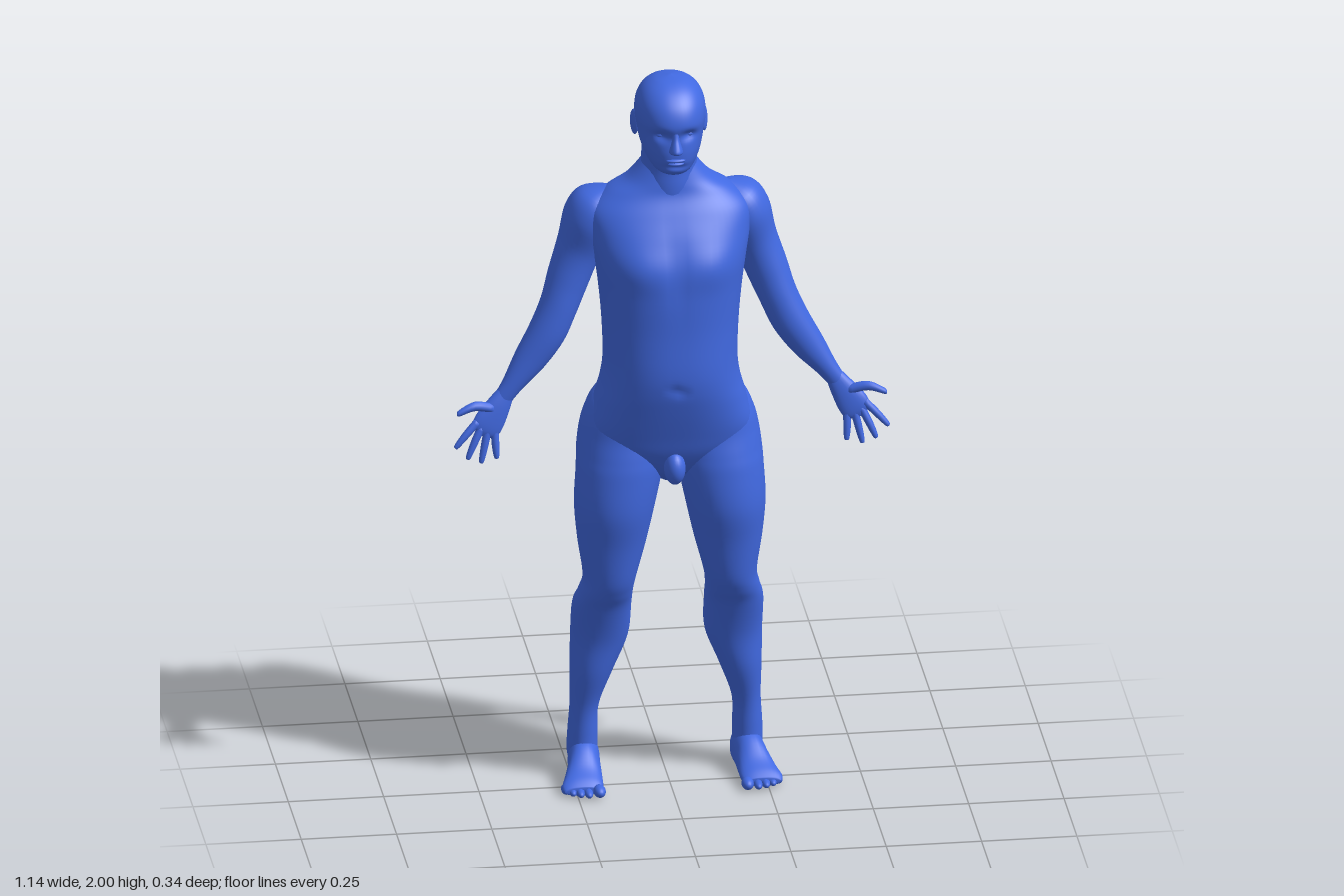
import * as THREE from 'three';

const skin = new THREE.MeshStandardMaterial({ color: 0x4169e1 });
skin.name = 'blue';

const gauss = (d, w) => Math.exp(-(d * d) / (w * w));

// Smooth value between rows (Catmull-Rom on every column)
function sampleRows(rows, t) {
  const i = Math.min(Math.floor(t), rows.length - 2), f = t - i;
  const at = k => rows[Math.max(0, Math.min(rows.length - 1, k))];
  const [a, b, c, d] = [at(i - 1), at(i), at(i + 1), at(i + 2)];
  return b.map((_, k) => 0.5 * (2 * b[k] + (c[k] - a[k]) * f
    + (2 * a[k] - 5 * b[k] + 4 * c[k] - d[k]) * f * f
    + (3 * b[k] - a[k] - 3 * c[k] + d[k]) * f * f * f));
}

// Closed skin over rows of [x, y, z, radiusU, radius +V, radius -V]; side -1 mirrors in x
function loft(name, rows, { u = [1, 0, 0], v = [0, 0, 1], side = 1, power = 2.2, segs = 32, steps = 6, shape } = {}) {
  const U = new THREE.Vector3(u[0] * side, u[1], u[2]).normalize();
  const V = new THREE.Vector3(v[0] * side, v[1], v[2]).normalize();
  const pos = [], index = [], p = new THREE.Vector3();
  const count = (rows.length - 1) * steps;
  const squash = c => Math.sign(c) * Math.abs(c) ** (2 / power);
  for (let r = 0; r <= count; r++) {
    const [x, y, z, ru, rp, rm] = sampleRows(rows, r / steps);
    for (let s = 0; s < segs; s++) {
      const a = s / segs * Math.PI * 2, sn = squash(Math.sin(a));
      p.set(x * side, y, z)
        .addScaledVector(U, Math.max(ru, 0.001) * squash(Math.cos(a)))
        .addScaledVector(V, Math.max(sn > 0 ? rp : rm, 0.001) * sn);
      if (shape) shape(p);
      pos.push(p.x, p.y, p.z);
    }
  }
  const first = rows[0], last = rows[rows.length - 1];
  const along = new THREE.Vector3((last[0] - first[0]) * side, last[1] - first[1], last[2] - first[2]);
  const forward = U.clone().cross(V).dot(along) > 0;
  const tri = (a, b, c) => forward ? index.push(a, b, c) : index.push(a, c, b);
  for (let r = 0; r < count; r++) for (let s = 0; s < segs; s++) {
    const n = (s + 1) % segs, a = r * segs;
    tri(a + s, a + n, a + segs + n);
    tri(a + s, a + segs + n, a + segs + s);
  }
  // End caps
  for (let s = 1; s < segs - 1; s++) {
    const e = count * segs;
    tri(0, s + 1, s);
    tri(e, e + s, e + s + 1);
  }
  const g = new THREE.BufferGeometry();
  g.setAttribute('position', new THREE.Float32BufferAttribute(pos, 3));
  g.setIndex(index);
  g.computeVertexNormals();
  const mesh = new THREE.Mesh(g, skin);
  mesh.name = name;
  return mesh;
}

function ellipsoid(name, [x, y, z], [rx, ry, rz]) {
  const g = new THREE.SphereGeometry(1, 24, 16).scale(rx, ry, rz).translate(x, y, z);
  const mesh = new THREE.Mesh(g, skin);
  mesh.name = name;
  return mesh;
}

// Tapered finger through base, joint and tip
function finger(name, a, b, c, r, side) {
  const d = [c[0] - a[0], c[1] - a[1]];
  const end = c.map((k, i) => k + (c[i] - b[i]) * 0.12);
  const rows = [[...a, r, r, r], [...b, r * 0.95, r * 0.95, r * 0.95], [...c, r * 0.65, r * 0.65, r * 0.65], [...end, 0.001, 0.001, 0.001]];
  return loft(name, rows, { u: [-d[1], d[0], 0], side, power: 2, segs: 12, steps: 4 });
}

function makeTorso() {
  const rows = [
    [0, 0.86, 0, 0.02, 0.02, 0.02], [0, 0.9, 0, 0.09, 0.07, 0.07], [0, 0.96, 0, 0.19, 0.105, 0.105],
    [0, 1.02, 0, 0.215, 0.125, 0.125], [0, 1.1, 0, 0.198, 0.15, 0.125], [0, 1.16, 0, 0.182, 0.165, 0.112],
    [0, 1.22, 0, 0.175, 0.17, 0.107], [0, 1.32, 0, 0.178, 0.165, 0.12], [0, 1.42, 0, 0.187, 0.163, 0.138],
    [0, 1.5, 0, 0.198, 0.155, 0.152], [0, 1.57, -0.01, 0.21, 0.135, 0.145], [0, 1.63, -0.02, 0.21, 0.11, 0.12],
    [0, 1.675, -0.025, 0.165, 0.088, 0.085], [0, 1.71, -0.025, 0.11, 0.078, 0.07], [0, 1.76, -0.02, 0.068, 0.06, 0.06],
  ];
  return loft('torso', rows, { power: 2.35, segs: 64, steps: 6, shape: p => {
    const ax = Math.abs(p.x);
    if (p.z > 0.03) { // chest, breastbone and navel
      p.z += 0.01 * gauss(ax - 0.095, 0.06) * gauss(p.y - 1.51, 0.06);
      p.z -= 0.006 * gauss(ax, 0.02) * gauss(p.y - 1.5, 0.1);
      p.z -= 0.008 * gauss(ax, 0.012) * gauss(p.y - 1.17, 0.015);
    } else if (p.z < -0.03) { // spine groove and shoulder blades
      p.z += 0.016 * gauss(ax, 0.035) * gauss(p.y - 1.38, 0.22);
      p.z -= 0.01 * gauss(ax - 0.12, 0.06) * gauss(p.y - 1.55, 0.08);
    }
  } });
}

function makeHead() {
  const head = new THREE.Group();
  head.name = 'head';
  head.add(loft('neck', [
    [0, 1.62, -0.03, 0.085, 0.09, 0.07], [0, 1.7, -0.02, 0.078, 0.08, 0.075],
    [0, 1.76, -0.015, 0.073, 0.072, 0.073], [0, 1.85, 0, 0.07, 0.07, 0.08],
  ], { power: 2 }));
  head.add(loft('skull', [
    [0, 1.75, 0.06, 0.012, 0.02, 0.02], [0, 1.763, 0.04, 0.045, 0.07, 0.06], [0, 1.785, 0.02, 0.064, 0.102, 0.085],
    [0, 1.82, 0.01, 0.078, 0.115, 0.092], [0, 1.86, 0, 0.087, 0.122, 0.092], [0, 1.9, 0, 0.092, 0.128, 0.094],
    [0, 1.94, 0, 0.088, 0.115, 0.09], [0, 1.972, 0, 0.071, 0.086, 0.077], [0, 1.992, 0, 0.042, 0.048, 0.048],
    [0, 2, 0, 0.004, 0.004, 0.004],
  ], { segs: 64, steps: 8, shape: p => { // eye sockets and chin crease
    if (p.z < 0.03) return;
    p.z -= 0.014 * gauss(Math.abs(p.x) - 0.036, 0.02) * gauss(p.y - 1.872, 0.014);
    p.z -= 0.006 * gauss(p.x, 0.03) * gauss(p.y - 1.786, 0.008);
  } }));
  head.add(loft('nose', [
    [0, 1.89, 0.115, 0.008, 0.008, 0.01], [0, 1.865, 0.116, 0.01, 0.017, 0.01], [0, 1.84, 0.117, 0.017, 0.037, 0.01],
    [0, 1.83, 0.116, 0.019, 0.03, 0.01], [0, 1.824, 0.115, 0.01, 0.01, 0.008],
  ], { power: 2, segs: 20 }));
  head.add(ellipsoid('upperLip', [0, 1.806, 0.119], [0.026, 0.006, 0.012]));
  head.add(ellipsoid('lowerLip', [0, 1.796, 0.117], [0.022, 0.006, 0.012]));
  for (const s of [1, -1]) {
    head.add(ellipsoid('eye', [s * 0.036, 1.871, 0.091], [0.015, 0.009, 0.012]));
    const ear = ellipsoid('ear', [0, 0, 0], [0.007, 0.034, 0.02]);
    ear.position.set(s * 0.092, 1.868, -0.008);
    ear.rotation.set(-0.15, -s * 0.35, 0);
    head.add(ear);
  }
  return head;
}

function makeArm(side) {
  const arm = new THREE.Group();
  arm.name = side > 0 ? 'leftArm' : 'rightArm';
  arm.add(loft('armAndShoulder', [
    [0.15, 1.672, -0.045, 0.012, 0.02, 0.02], [0.178, 1.635, -0.05, 0.058, 0.07, 0.08], [0.205, 1.58, -0.055, 0.069, 0.085, 0.097],
    [0.232, 1.5, -0.055, 0.06, 0.068, 0.085], [0.262, 1.42, -0.045, 0.056, 0.06, 0.062], [0.288, 1.35, -0.03, 0.051, 0.052, 0.05],
    [0.32, 1.28, -0.02, 0.05, 0.047, 0.046], [0.365, 1.21, -0.012, 0.043, 0.038, 0.038],
    [0.41, 1.15, 0, 0.029, 0.025, 0.025], [0.44, 1.11, 0.008, 0.024, 0.016, 0.016],
  ], { u: [0.89, 0.46, 0], side, power: 2 }));
  arm.add(loft('palm', [
    [0.428, 1.13, 0.004, 0.022, 0.016, 0.016], [0.45, 1.095, 0.012, 0.032, 0.018, 0.016], [0.474, 1.058, 0.022, 0.04, 0.015, 0.013],
    [0.488, 1.034, 0.028, 0.037, 0.011, 0.011], [0.496, 1.02, 0.031, 0.018, 0.005, 0.005],
  ], { u: [0.87, 0.5, 0], side, segs: 24 }));
  const fingers = [
    ['indexFinger', [0.507, 1.058, 0.027], [0.538, 1.027, 0.037], [0.565, 0.997, 0.044]],
    ['middleFinger', [0.497, 1.043, 0.028], [0.517, 1.003, 0.037], [0.534, 0.965, 0.044]],
    ['ringFinger', [0.48, 1.036, 0.027], [0.49, 0.992, 0.035], [0.499, 0.952, 0.042]],
    ['littleFinger', [0.462, 1.034, 0.024], [0.461, 0.993, 0.032], [0.459, 0.96, 0.038]],
    ['thumb', [0.465, 1.09, 0.02], [0.515, 1.104, 0.034], [0.558, 1.09, 0.042]],
  ];
  for (const [name, a, b, c] of fingers) arm.add(finger(name, a, b, c, name === 'thumb' ? 0.013 : 0.0105, side));
  return arm;
}

function makeLeg(side) {
  const leg = new THREE.Group();
  leg.name = side > 0 ? 'leftLeg' : 'rightLeg';
  leg.add(loft('thighAndCalf', [
    [0.11, 1.15, -0.02, 0.03, 0.05, 0.06], [0.114, 1.1, -0.02, 0.083, 0.1, 0.113], [0.118, 1.05, -0.02, 0.104, 0.115, 0.138],
    [0.121, 1, -0.02, 0.114, 0.12, 0.147], [0.126, 0.95, -0.015, 0.116, 0.125, 0.14], [0.132, 0.9, 0, 0.113, 0.117, 0.134],
    [0.145, 0.8, 0, 0.105, 0.12, 0.106], [0.152, 0.7, 0, 0.09, 0.1, 0.09], [0.158, 0.6, 0, 0.07, 0.082, 0.074],
    [0.166, 0.55, -0.015, 0.071, 0.077, 0.078], [0.173, 0.5, -0.04, 0.077, 0.074, 0.082], [0.176, 0.4, -0.07, 0.075, 0.07, 0.081],
    [0.195, 0.3, -0.08, 0.056, 0.065, 0.069], [0.212, 0.2, -0.09, 0.038, 0.05, 0.046], [0.216, 0.12, -0.095, 0.039, 0.05, 0.048],
    [0.217, 0.06, -0.1, 0.039, 0.055, 0.056], [0.217, 0.02, -0.1, 0.03, 0.05, 0.045],
  ], { side, power: 2.05, segs: 40 }));
  leg.add(loft('foot', [
    [0.212, 0.04, -0.168, 0.006, 0.008, 0.01], [0.212, 0.038, -0.155, 0.03, 0.032, 0.03], [0.213, 0.037, -0.1, 0.041, 0.07, 0.036],
    [0.219, 0.032, -0.04, 0.043, 0.066, 0.03], [0.228, 0.025, 0.015, 0.05, 0.034, 0.024], [0.235, 0.018, 0.05, 0.054, 0.022, 0.017],
    [0.238, 0.015, 0.07, 0.046, 0.01, 0.012],
  ], { v: [0, 1, 0], side, segs: 28 }));
  // Toes, from big to little
  for (let i = 0; i < 5; i++) {
    const x = [0.194, 0.222, 0.243, 0.262, 0.279][i], r = i ? 0.011 : 0.016;
    leg.add(ellipsoid('toe', [side * x, r, 0.076 - i * i * 0.0022], [r, r, 0.026]));
  }
  return leg;
}

export function createModel() {
  const figure = new THREE.Group();
  figure.name = 'standingFigure';
  figure.add(makeTorso(), makeHead());
  for (const side of [1, -1]) figure.add(makeArm(side), makeLeg(side));
  // Simple rounded groin volume
  figure.add(ellipsoid('groin', [0, 0.928, 0.098], [0.028, 0.045, 0.036]));
  return figure;
}
